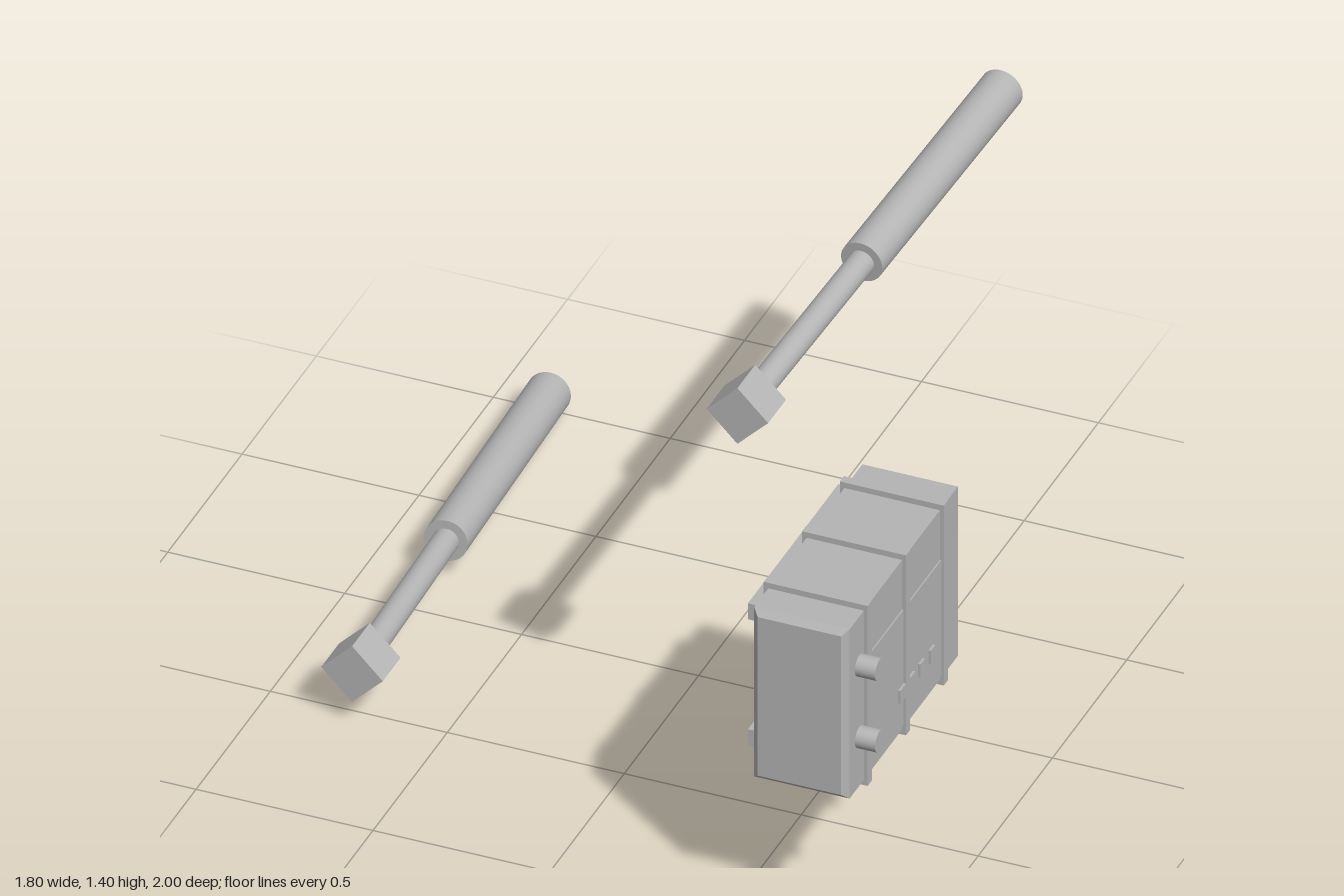
import * as THREE from 'three';

const grey = new THREE.MeshStandardMaterial({ color: 0xb4b4b4 });
grey.name = 'plain grey';

function add(parent, name, geometry) {
  const mesh = new THREE.Mesh(geometry, grey);
  mesh.name = name;
  parent.add(mesh);
  return mesh;
}

// Box given by its limits on each axis
function box(parent, name, x0, x1, y0, y1, z0, z1) {
  const mesh = add(parent, name, new THREE.BoxGeometry(x1 - x0, y1 - y0, z1 - z0));
  mesh.position.set((x0 + x1) / 2, (y0 + y1) / 2, (z0 + z1) / 2);
  return mesh;
}

// Cylinder running between two points
function rod(parent, name, a, b, radius) {
  const mesh = add(parent, name, new THREE.CylinderGeometry(radius, radius, a.distanceTo(b), 40));
  mesh.position.copy(a).add(b).multiplyScalar(0.5);
  mesh.quaternion.setFromUnitVectors(new THREE.Vector3(0, 1, 0), b.clone().sub(a).normalize());
  return mesh;
}

// Box with every edge chamfered by c
function chamferedBox(w, h, d, c) {
  const x = w / 2 - c, y = h / 2 - c;
  const shape = new THREE.Shape([[-x, -y], [x, -y], [x, y], [-x, y]].map(p => new THREE.Vector2(...p)));
  const geometry = new THREE.ExtrudeGeometry(shape, {
    depth: d - 2 * c, bevelEnabled: true, bevelSize: c, bevelThickness: c, bevelSegments: 1,
  });
  geometry.translate(0, 0, c - d / 2);
  return geometry;
}

// Ram: square end block, thin piston rod and thick barrel
function makeRam(name, x, y, endX, endY) {
  const ram = new THREE.Group();
  ram.name = name;
  const start = new THREE.Vector3(x, y, 0.5);
  const end = new THREE.Vector3(endX, endY, -0.995);
  const block = add(ram, 'endBlock', new THREE.BoxGeometry(0.123, 0.123, 0.12));
  block.position.copy(start);
  block.rotation.z = Math.PI / 4;
  const shoulder = start.clone().lerp(end, 0.451);
  rod(ram, 'pistonRod', start, shoulder, 0.036);
  rod(ram, 'barrel', shoulder, end, 0.06);
  return ram;
}

function makeCase() {
  const group = new THREE.Group();
  group.name = 'equipmentCase';
  const body = add(group, 'caseBody', chamferedBox(0.27, 0.53, 0.762, 0.017));
  body.position.set(0.705, 0.705, 0.619);

  // Raised strips wrapped around the case
  for (const z of [0.362, 0.616, 0.874]) {
    box(group, 'band', 0.557, 0.851, 0.424, 0.987, z - 0.014, z + 0.014);
  }

  // Mounting rails on the inner side
  for (const y of [0.511, 0.905]) {
    box(group, 'mountingRail', 0.525, 0.572, y - 0.025, y + 0.025, 0.31, 0.918);
  }

  // Outer side: access panel, latch and buttons
  box(group, 'accessPanel', 0.835, 0.844, 0.457, 0.815, 0.362, 0.874);
  box(group, 'latch', 0.835, 0.851, 0.545, 0.586, 0.567, 0.668);
  for (const z of [0.448, 0.518]) {
    box(group, 'button', 0.835, 0.851, 0.545, 0.586, z - 0.015, z + 0.015);
  }

  // Pipe stubs
  for (const y of [0.594, 0.818]) {
    rod(group, 'pipeStub', new THREE.Vector3(0.83, y, 0.917), new THREE.Vector3(0.897, y, 0.917), 0.031);
  }
  return group;
}

export function createModel() {
  const model = new THREE.Group();
  model.name = 'ramsAndCase';
  model.add(
    makeRam('upperRam', 0.345, 1.25, 0.44, 1.345),
    makeRam('lowerRam', -0.744, 0.162, -0.84, 0.065),
    makeCase(),
  );
  return model;
}
